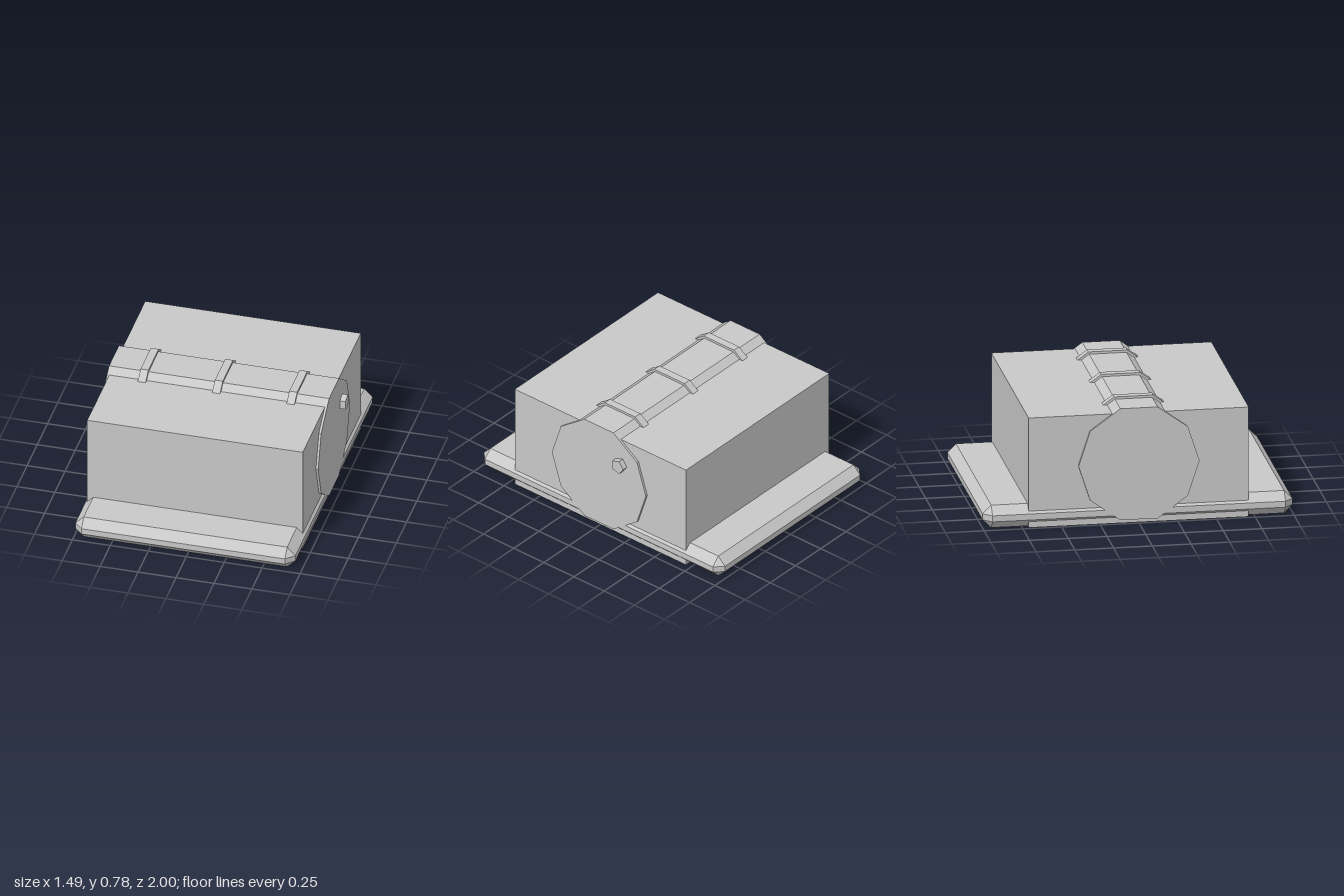
import * as THREE from 'three';
import { ConvexGeometry } from 'three/addons/geometries/ConvexGeometry.js';

const CX = -0.02; // centre of the body; the side knob offsets it from x = 0

// Block with every edge and corner cut by a single chamfer
function chamferedBlock(w, h, d, c) {
  const points = [];
  for (const sx of [-1, 1]) for (const sy of [-1, 1]) for (const sz of [-1, 1]) {
    for (let full = 0; full < 3; full++) {
      const [x, y, z] = [w, h, d].map((size, i) => size / 2 - (i === full ? 0 : c));
      points.push(new THREE.Vector3(sx * x, sy * y, sz * z));
    }
  }
  return new ConvexGeometry(points);
}

// Faceted cylinder lying along x
function lyingCylinder(radius, length, sides, start = 0) {
  return new THREE.CylinderGeometry(radius, radius, length, sides, 1, false, start).rotateZ(Math.PI / 2);
}

export function createModel() {
  const group = new THREE.Group();
  const grey = new THREE.MeshStandardMaterial({ color: 0xc8c8c8 });
  grey.name = 'light grey';
  grey.flatShading = true;

  const add = (name, geometry, x, y, z) => {
    const mesh = new THREE.Mesh(geometry, grey);
    mesh.name = name;
    mesh.position.set(x, y, z);
    group.add(mesh);
  };

  // Base slab and main housing
  add('baseSlab', chamferedBlock(1.45, 0.15, 2, 0.055), CX, 0.075, 0);
  add('housing', new THREE.BoxGeometry(1.42, 0.73, 1.42), CX, 0.365, 0);

  // Ten-sided drum through the housing, with three raised bands
  add('drum', lyingCylinder(0.39, 1.45, 10), CX, 0.395, 0);
  [-0.49, 0, 0.49].forEach((dx, i) =>
    add(`drumBand${i + 1}`, lyingCylinder(0.406, 0.052, 10), CX + dx, 0.395, 0));

  // Five-sided knob on the left end of the drum
  add('knob', lyingCylinder(0.05, 0.06, 5, Math.PI), 0.712, 0.55, -0.183);

  return group;
}
